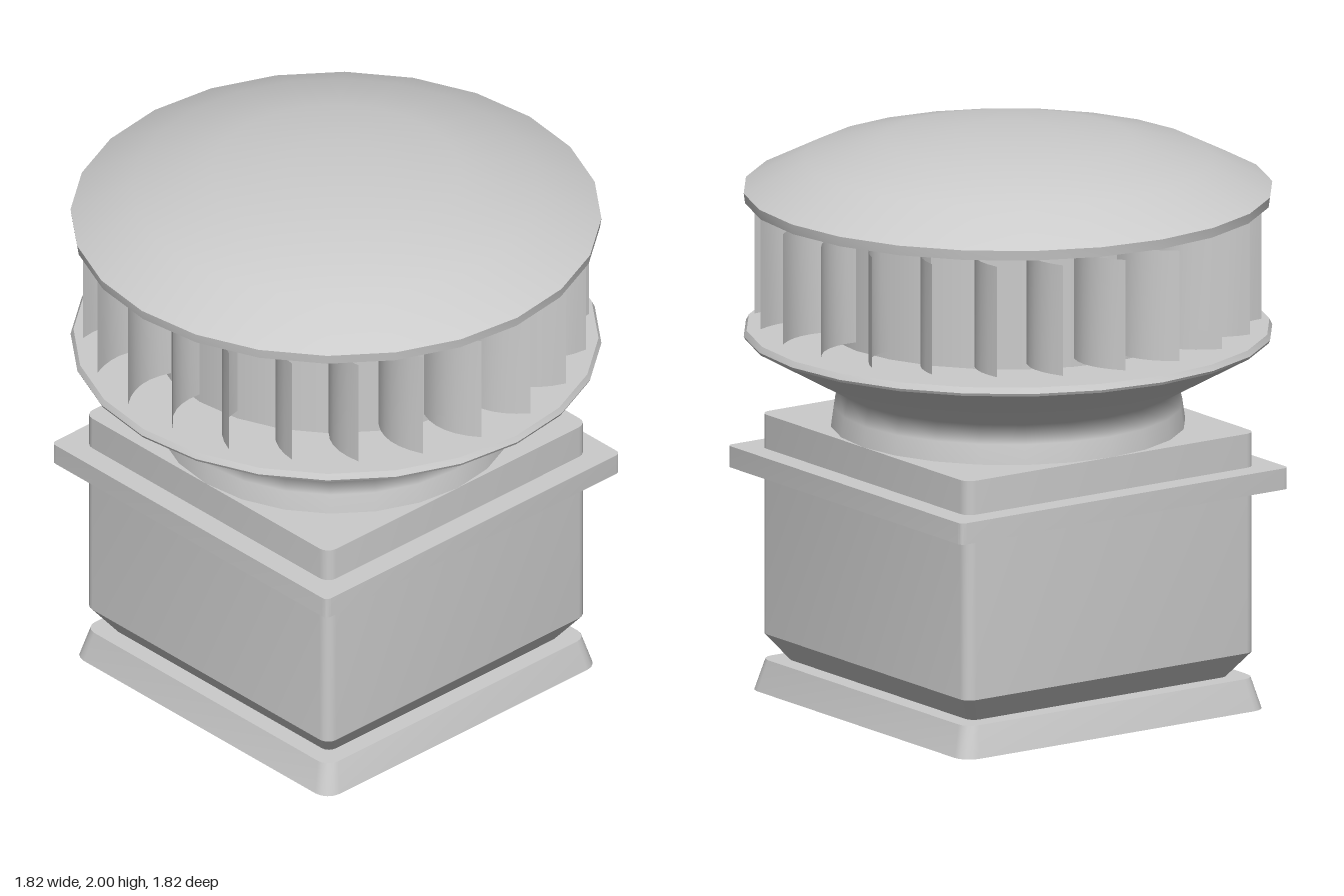
import * as THREE from 'three';
import { toCreasedNormals } from 'three/addons/utils/BufferGeometryUtils.js';

const SIDES = 24;
const material = new THREE.MeshStandardMaterial({ color: 0xcccccc });
const sheetMaterial = new THREE.MeshStandardMaterial({ color: 0xcccccc, side: THREE.DoubleSide });

function part(name, geometry, mat = material) {
  const mesh = new THREE.Mesh(geometry, mat);
  mesh.name = name;
  return mesh;
}

// Round part from a profile of [radius, y], listed upwards on the outside
function turned(profile) {
  return new THREE.LatheGeometry(profile.map(([r, y]) => new THREE.Vector2(r, y)), SIDES);
}

// Rounded-square part from sections [half width, y, corner radius], listed upwards on the outside
function squareLoft(sections) {
  const steps = 4, count = 4 * (steps + 1);
  const positions = [], index = [];
  for (const [half, y, radius] of sections) {
    for (let corner = 0; corner < 4; corner++) {
      const mid = (corner + 0.5) * Math.PI / 2;
      const cx = Math.sign(Math.cos(mid)) * (half - radius);
      const cz = Math.sign(Math.sin(mid)) * (half - radius);
      for (let k = 0; k <= steps; k++) {
        const a = (corner + k / steps) * Math.PI / 2;
        positions.push(cx + radius * Math.cos(a), y, cz + radius * Math.sin(a));
      }
    }
  }
  for (let s = 0; s < sections.length - 1; s++) {
    for (let j = 0; j < count; j++) {
      const a = s * count + j, next = s * count + (j + 1) % count;
      index.push(a, a + count, next, a + count, next + count, next);
    }
  }
  const geometry = new THREE.BufferGeometry();
  geometry.setAttribute('position', new THREE.Float32BufferAttribute(positions, 3));
  geometry.setIndex(index);
  return toCreasedNormals(geometry, 0.5);
}

// Thin curved vane, swept from the drum outwards
function vaneGeometry(bottom, top) {
  const start = new THREE.Vector2(0, 0.64);
  const end = new THREE.Vector2(0.105, 0.863);
  const curve = new THREE.QuadraticBezierCurve(start, new THREE.Vector2(-0.02, 0.775), end);
  const steps = 6;
  const geometry = new THREE.PlaneGeometry(1, 1, steps, 1);
  const pos = geometry.attributes.position;
  for (let i = 0; i < pos.count; i++) {
    const p = curve.getPoint(pos.getX(i) + 0.5);
    pos.setXYZ(i, p.x, pos.getY(i) > 0 ? top : bottom, p.y);
  }
  geometry.computeVertexNormals();
  return geometry;
}

export function createModel() {
  const model = new THREE.Group();
  model.name = 'roofVentilator';

  // Hollow square duct: inside ceiling, ledge and walls, flared skirt, then the outside
  model.add(part('duct', squareLoft([
    [0, 0.95, 0], [0.45, 0.95, 0.04], [0.45, 0.75, 0.04], [0.545, 0.75, 0.035],
    [0.545, 0.11, 0.035], [0.64, 0, 0.06], [0.61, 0.11, 0.05], [0.545, 0.11, 0.035],
    [0.61, 0.2, 0.04], [0.61, 0.975, 0.04], [0, 0.975, 0],
  ])));

  // Mounting plate around the duct
  model.add(part('mountingPlate', squareLoft([
    [0.6, 0.78, 0.03], [0.69, 0.78, 0.02], [0.69, 0.855, 0.02], [0.6, 0.855, 0.03],
  ])));

  // Round neck opening into the lower flange
  model.add(part('neck', turned([[0.61, 0.975], [0.6, 1.045], [0.585, 1.11], [0.905, 1.29]])));
  model.add(part('lowerFlange', toCreasedNormals(
    turned([[0.905, 1.29], [0.91, 1.3], [0.9, 1.32], [0.6, 1.32]]), 0.5)));

  // Drum behind the vanes
  model.add(part('drum', turned([[0.64, 1.315], [0.64, 1.775]])));

  // Ring of curved vanes
  const vanes = new THREE.Group();
  vanes.name = 'vanes';
  const vane = vaneGeometry(1.35, 1.74);
  for (let i = 0; i < SIDES; i++) {
    const mesh = part('vane', vane, sheetMaterial);
    mesh.rotation.y = i * 2 * Math.PI / SIDES;
    vanes.add(mesh);
  }
  model.add(vanes);

  // Shallow domed cap with a short rim and flat underside
  model.add(part('cap', toCreasedNormals(turned([
    [0, 1.77], [0.905, 1.77], [0.91, 1.805], [0.7, 1.91], [0.43, 1.975], [0.17, 2], [0, 2],
  ]), 0.5)));

  return model;
}
